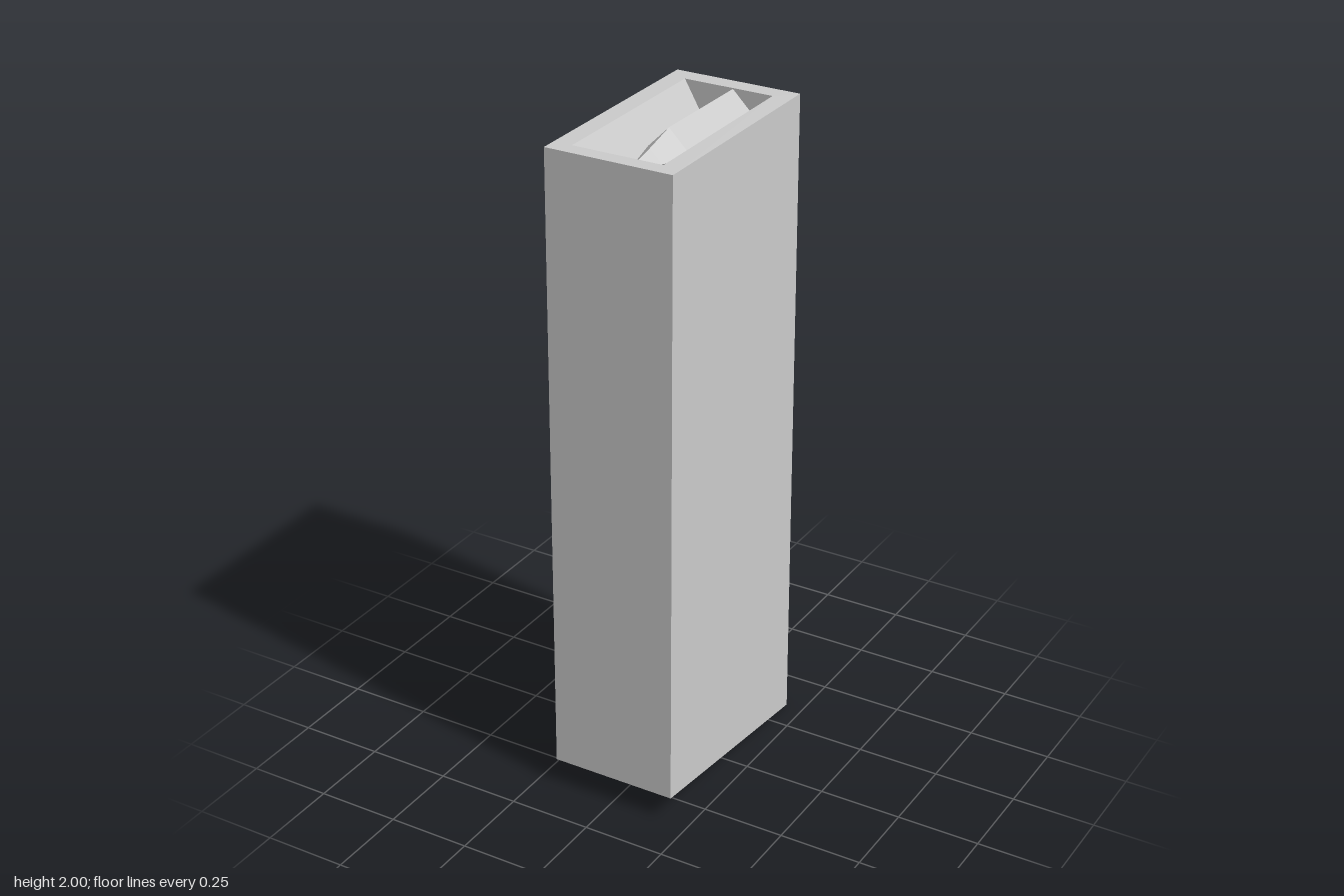
import * as THREE from 'three';

const material = new THREE.MeshStandardMaterial({ color: 0xcccccc, flatShading: true });

// Four corners, counter-clockwise seen from above: front left to back left
const ring = (x, zFront, yFront, zBack, yBack) => [
  [-x, yFront, zFront], [x, yFront, zFront], [x, yBack, zBack], [-x, yBack, zBack],
];

// Skins a series of four-cornered rings and caps the first and last
function skin(rings) {
  const index = [0, 2, 1, 0, 3, 2];
  for (let r = 0; r < rings.length - 1; r++) {
    for (let i = 0; i < 4; i++) {
      const a = r * 4 + i, b = r * 4 + (i + 1) % 4;
      index.push(a, b, b + 4, a, b + 4, a + 4);
    }
  }
  const e = (rings.length - 1) * 4;
  index.push(e, e + 1, e + 2, e, e + 2, e + 3);
  const geometry = new THREE.BufferGeometry();
  geometry.setAttribute('position', new THREE.Float32BufferAttribute(rings.flat(2), 3));
  geometry.setIndex(index);
  const flat = geometry.toNonIndexed();
  flat.computeVertexNormals();
  return flat;
}

// Four-sided cartridge lying along z, with an edge on top
function cartridge(name, x, y, zBack) {
  const profile = [
    [0, 0], [0.064, 0], [0.064, 0.342], [0.038, 0.44], [0.015, 0.541], [0, 0.544],
  ].map(([r, l]) => new THREE.Vector2(r, l));
  const mesh = new THREE.Mesh(new THREE.LatheGeometry(profile, 4), material);
  mesh.name = name;
  mesh.rotation.x = Math.PI / 2;
  mesh.position.set(x, y, zBack);
  return mesh;
}

export function createModel() {
  const group = new THREE.Group();
  group.name = 'magazine';

  // Slightly tapered casing: slanted base, outer rim, inner rim, recess floor
  const casing = new THREE.Mesh(skin([
    ring(0.194, 0.352, 0.08, -0.352, 0),
    ring(0.194, 0.338, 1.986, -0.344, 1.99),
    ring(0.138, 0.29, 1.986, -0.29, 1.99),
    ring(0.078, 0.256, 1.885, -0.29, 1.885),
  ]), material);
  casing.name = 'casing';
  group.add(casing);

  // Two staggered cartridges in the recess
  group.add(cartridge('upperCartridge', 0.031, 1.936, -0.26));
  group.add(cartridge('lowerCartridge', -0.002, 1.89, -0.273));

  return group;
}
